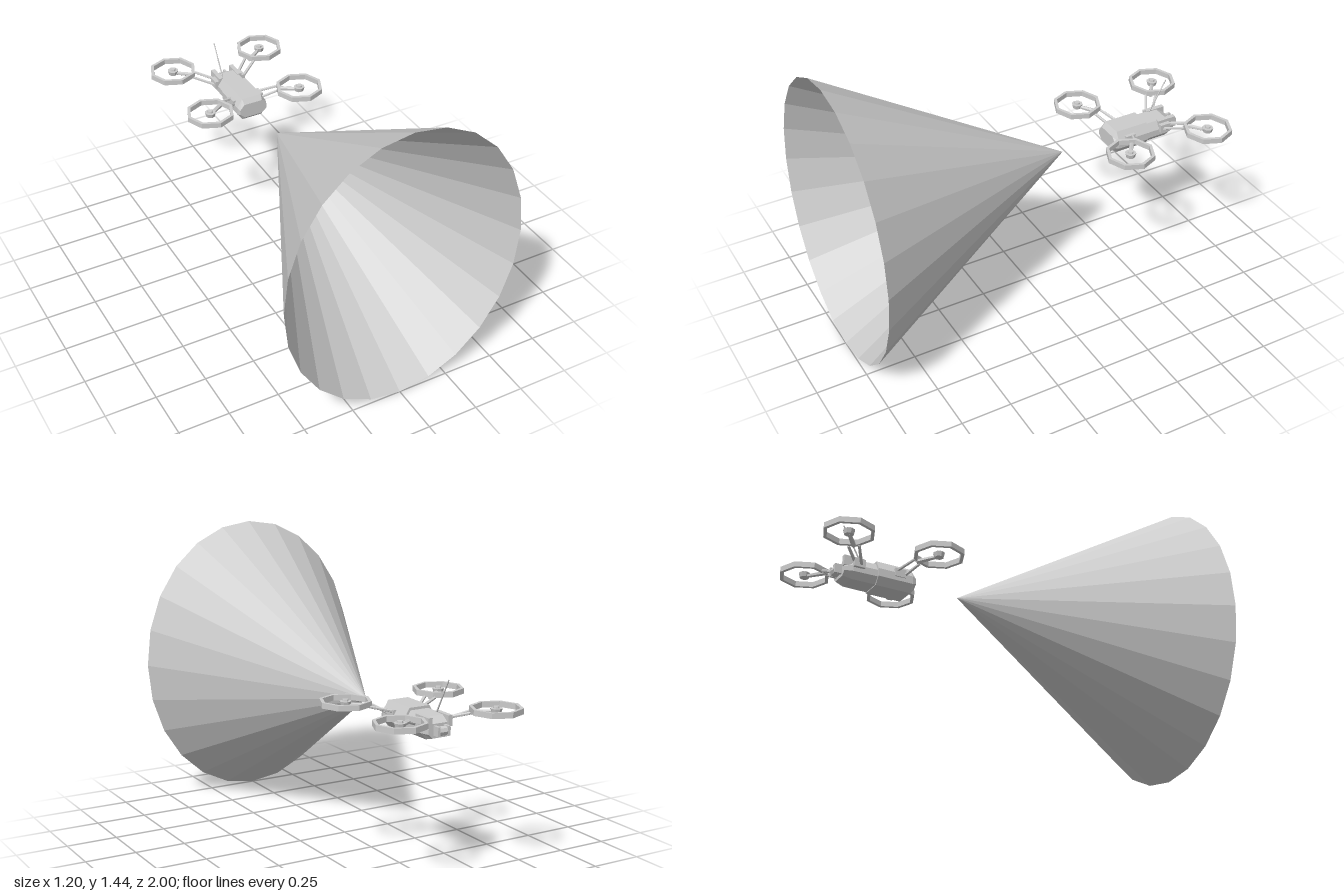
import * as THREE from 'three';

const grey = new THREE.MeshStandardMaterial({ color: 0xcccccc });
grey.name = 'lightGrey';
grey.flatShading = true;
grey.side = THREE.DoubleSide;

function add(parent, name, geometry, x = 0, y = 0, z = 0) {
  const mesh = new THREE.Mesh(geometry, grey);
  mesh.name = name;
  mesh.position.set(x, y, z);
  parent.add(mesh);
  return mesh;
}

// Straight rod between two points, tapering from r0 to r1
function rod(parent, name, a, b, r0, r1 = r0, sides = 6) {
  const from = new THREE.Vector3(...a), to = new THREE.Vector3(...b);
  const dir = to.clone().sub(from);
  const mesh = add(parent, name, new THREE.CylinderGeometry(r1, r0, dir.length(), sides));
  mesh.position.copy(from).add(to).multiplyScalar(0.5);
  mesh.quaternion.setFromUnitVectors(new THREE.Vector3(0, 1, 0), dir.normalize());
  return mesh;
}

// Chamfered hull through sections [z, halfWidth, bottom, top], front to back
function hull(sections) {
  const pos = [], index = [], n = 8;
  for (const [z, w, y0, y1] of sections) {
    const h = y1 - y0, t = w * 0.66;
    const ring = [[w, y0 + h * 0.3], [w, y0 + h * 0.62], [t, y1], [-t, y1],
      [-w, y0 + h * 0.62], [-w, y0 + h * 0.3], [-t, y0], [t, y0]];
    for (const [x, y] of ring) pos.push(x, y, z);
  }
  const last = (sections.length - 1) * n;
  for (let i = 0; i < last; i += n) {
    for (let j = 0; j < n; j++) {
      const k = (j + 1) % n;
      index.push(i + j, i + n + j, i + k, i + k, i + n + j, i + n + k);
    }
  }
  for (let j = 1; j < n - 1; j++) index.push(0, j, j + 1, last, last + j + 1, last + j);
  const g = new THREE.BufferGeometry();
  g.setAttribute('position', new THREE.Float32BufferAttribute(pos, 3));
  g.setIndex(index);
  const flat = g.toNonIndexed();
  flat.computeVertexNormals();
  return flat;
}

// Octagonal guard ring, motor and arms of one rotor
function rotor(side, z, rootZ) {
  const g = new THREE.Group();
  g.name = 'rotor';
  const x = side * 0.25, y = 0.783;
  const profile = [[0.105, -0.013], [0.121, -0.013], [0.121, 0.013], [0.105, 0.013], [0.105, -0.013]]
    .map(p => new THREE.Vector2(...p));
  add(g, 'guardRing', new THREE.LatheGeometry(profile, 8), x, y, z);
  add(g, 'motor', new THREE.CylinderGeometry(0.028, 0.022, 0.022, 8), x, y - 0.004, z);
  add(g, 'motorCap', new THREE.CylinderGeometry(0.013, 0.015, 0.012, 8), x, y + 0.01, z);
  // Spoke from the ring's inner corner to the motor
  const dz = Math.sign(rootZ - z);
  const ex = x - side * 0.09, ez = z + dz * 0.065;
  rod(g, 'spoke', [ex, y - 0.012, ez], [x, y - 0.008, z], 0.012, 0.009);
  // Pair of struts down to the body
  for (const s of [-1, 1]) {
    rod(g, 'strut', [side * 0.065, 0.735 - s * 0.01, rootZ + s * 0.018],
      [ex + side * s * dz * 0.015, y - 0.012, ez + s * 0.02], 0.008, 0.007);
  }
  add(g, 'armMount', new THREE.BoxGeometry(0.03, 0.04, 0.055), side * 0.07, 0.735, rootZ);
  return g;
}

export function createModel() {
  const model = new THREE.Group();
  model.name = 'droneWithViewCone';

  // Open view cone in front of the drone
  const cone = new THREE.ConeGeometry(1, 1.2, 24, 1, true);
  cone.rotateX(-Math.PI / 2);
  cone.scale(0.6, 0.72, 1);
  add(model, 'viewCone', cone, 0, 0.722, 0.4);

  const drone = new THREE.Group();
  drone.name = 'drone';
  model.add(drone);

  // Body halves
  add(drone, 'frontBody', hull([
    [-0.455, 0.074, 0.68, 0.755], [-0.475, 0.08, 0.66, 0.78], [-0.65, 0.08, 0.66, 0.78]]));
  add(drone, 'rearBody', hull([
    [-0.65, 0.072, 0.664, 0.768], [-0.77, 0.07, 0.664, 0.765], [-0.81, 0.058, 0.675, 0.74]]));

  // Tail fins and rear camera
  for (const s of [-1, 1]) {
    add(drone, 'tailFin', new THREE.BoxGeometry(0.022, 0.05, 0.1), s * 0.052, 0.745, -0.765);
    add(drone, 'cameraBracket', new THREE.BoxGeometry(0.012, 0.045, 0.05), s * 0.026, 0.71, -0.82);
  }
  const camera = add(drone, 'camera', new THREE.CylinderGeometry(0.022, 0.022, 0.04, 8), 0, 0.708, -0.825);
  camera.rotation.z = Math.PI / 2;

  rod(drone, 'antenna', [-0.04, 0.755, -0.72], [-0.04, 0.927, -0.815], 0.004, 0.003, 5);

  // Four rotors
  for (const s of [-1, 1]) {
    drone.add(rotor(s, -0.43, -0.54));
    drone.add(rotor(s, -0.879, -0.745));
  }
  return model;
}
